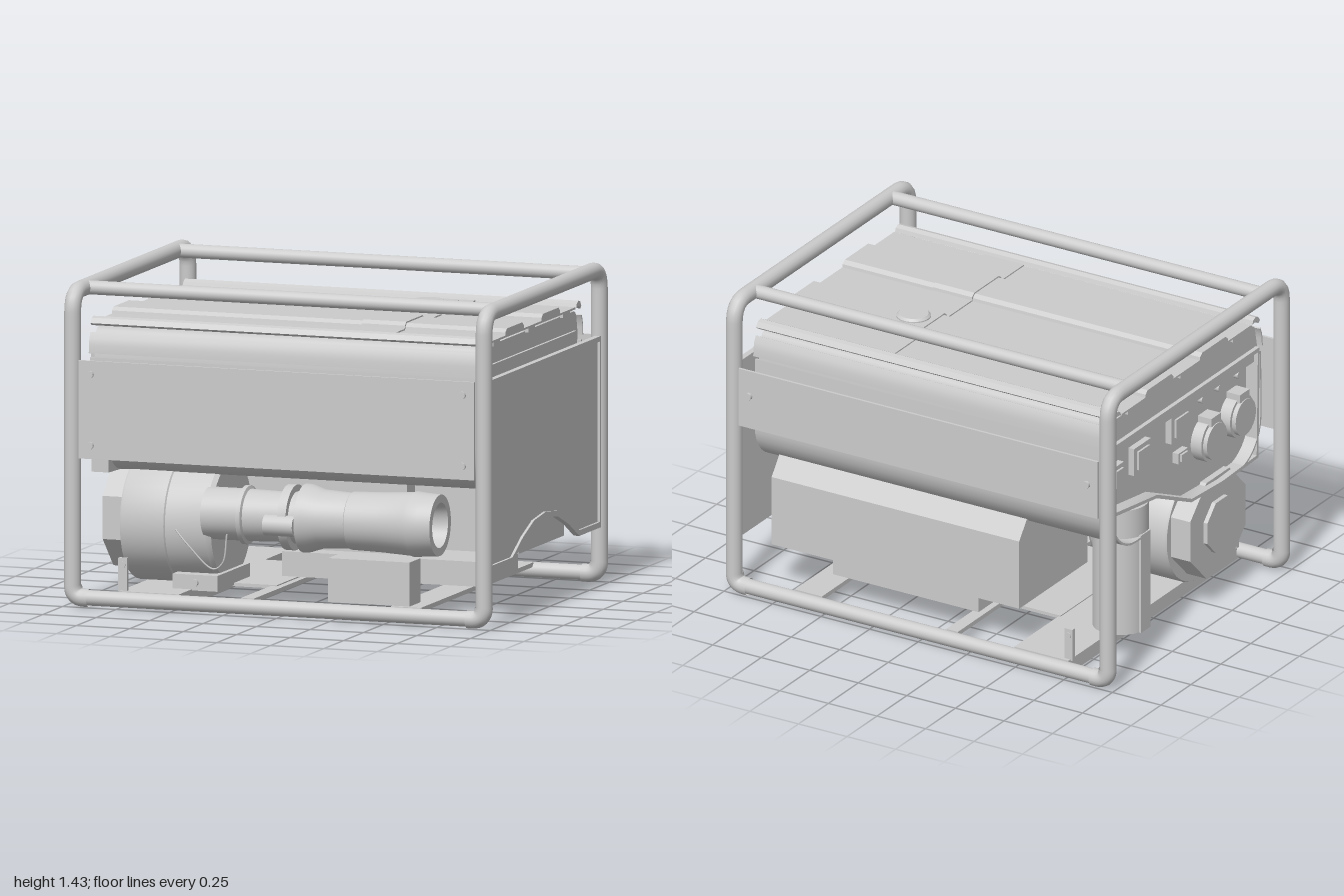
import * as THREE from 'three';
import { toCreasedNormals } from 'three/addons/utils/BufferGeometryUtils.js';

const mat = new THREE.MeshStandardMaterial({ color: 0xcccccc, side: THREE.DoubleSide });

export function createModel() {
  const root = new THREE.Group();
  const V = (x, y, z) => new THREE.Vector3(x, y, z);

  function add(name, geo, x = 0, y = 0, z = 0) {
    const m = new THREE.Mesh(geo, mat);
    m.name = name;
    m.position.set(x, y, z);
    root.add(m);
    return m;
  }
  // box given by its limits
  const box = (name, x0, x1, y0, y1, z0, z1) =>
    add(name, new THREE.BoxGeometry(x1 - x0, y1 - y0, z1 - z0), (x0 + x1) / 2, (y0 + y1) / 2, (z0 + z1) / 2);
  // cylinder along an axis
  function cyl(name, axis, r, len, x, y, z, sides = 24) {
    const g = new THREE.CylinderGeometry(r, r, len, sides);
    if (axis === 'x') g.rotateZ(Math.PI / 2);
    if (axis === 'z') g.rotateX(Math.PI / 2);
    return add(name, g, x, y, z);
  }
  // outline of [z, y] points extruded from x0 to x1
  function prism(name, pts, x0, x1, hole) {
    const to2 = p => new THREE.Vector2(-p[0], p[1]);
    const shape = new THREE.Shape(pts.map(to2));
    if (hole) shape.holes.push(new THREE.Path(hole.map(to2)));
    const g = new THREE.ExtrudeGeometry(shape, { depth: x1 - x0, bevelEnabled: false });
    g.rotateY(Math.PI / 2);
    return add(name, toCreasedNormals(g, 0.6), x0, 0, 0);
  }
  // thin bent sheet following [z, y] points
  function sheet(name, pts, t, x0, x1) {
    const off = pts.map((p, i) => {
      const a = pts[Math.max(i - 1, 0)], b = pts[Math.min(i + 1, pts.length - 1)];
      const dz = b[0] - a[0], dy = b[1] - a[1], l = Math.hypot(dz, dy);
      return [p[0] - dy / l * t, p[1] + dz / l * t];
    });
    return prism(name, [...pts, ...off.reverse()], x0, x1);
  }
  // tube through points with rounded corners
  function pipe(name, pts, r, bend, seg) {
    const path = new THREE.CurvePath();
    let last = pts[0];
    for (let i = 1; i < pts.length - 1; i++) {
      const p = pts[i];
      const a = p.clone().add(pts[i - 1].clone().sub(p).setLength(bend));
      const b = p.clone().add(pts[i + 1].clone().sub(p).setLength(bend));
      path.add(new THREE.LineCurve3(last, a));
      path.add(new THREE.QuadraticBezierCurve3(a, p, b));
      last = b;
    }
    path.add(new THREE.LineCurve3(last, pts[pts.length - 1]));
    return add(name, new THREE.TubeGeometry(path, seg, r, 16));
  }
  const mirrorZ = pts => pts.map(([z, y]) => [-z, y]);

  // tubular frame
  for (const s of [-1, 1]) {
    const x = s * 0.962;
    pipe('frameHoop', [V(x, 0.09, 0.725), V(x, 1.402, 0.725), V(x, 1.402, -0.725), V(x, 0.09, -0.725)], 0.037, 0.09, 160);
    for (const z of [-0.725, 0.725]) {
      pipe('frameElbow', [V(s * 0.885, 0.049, z), V(s * 0.96, 0.049, z), V(s * 0.96, 0.105, z)], 0.04, 0.054, 24);
    }
    cyl('topRail', 'x', 0.031, 1.92, 0, 1.402, s * 0.57);
    cyl('bottomRail', 'x', 0.034, 1.8, 0, 0.05, s * 0.725);
    box('mountTab', -0.76, -0.72, 0.08, 0.23, s * 0.685 - 0.01, s * 0.685 + 0.01);
    cyl('mountTabBolt', 'z', 0.014, 0.03, -0.74, 0.2, s * 0.685, 12);
  }
  // floor cross members
  for (const [x0, x1, y0] of [[-0.75, -0.47, 0.02], [-0.18, -0.12, 0.065], [0.52, 0.66, 0.065]]) {
    box('crossMember', x0, x1, y0, 0.085, -0.71, 0.71);
  }
  box('basePlate', -0.48, -0.15, 0.075, 0.09, -0.34, 0.34);

  // flat outer covers set between the posts: deep in front, shallow at the back
  for (const [name, s, low, screws] of [['frontCover', 1, 0.67, [0.73, 1.045]], ['backCover', -1, 0.83, [0.985]]]) {
    box(name, -0.925, 0.925, low, 1.105, s * 0.746 - 0.006, s * 0.746 + 0.006);
    for (const x of [-0.87, 0.87]) for (const y of screws) cyl('coverScrew', 'z', 0.017, 0.024, x, y, s * 0.753, 12);
  }
  // inner walls that roll under the machine
  const wall = [[0.62, 1.1], [0.625, 0.95]];
  for (let i = 0; i <= 8; i++) {
    const a = i / 8 * Math.PI / 2;
    wall.push([0.425 + 0.2 * Math.cos(a), 0.784 - 0.2 * Math.sin(a)]);
  }
  wall.push([0.3, 0.584]);
  sheet('frontWall', wall, -0.01, -0.92, 0.92);
  sheet('backWall', mirrorZ(wall), 0.01, -0.92, 0.92);
  // enclosed engine body between the walls
  prism('engineBody', [[0.6, 1.09], [0.6, 0.79], [0.54, 0.66], [0.42, 0.6], [-0.42, 0.6], [-0.54, 0.66], [-0.6, 0.79], [-0.6, 1.09]], -0.55, 0.9);

  // arched side panel with a raised rim on the left end
  const arch = (w, top, low, lift) => {
    const a = [[0.42, low], [0.29, 0.33 + lift], [0.15, 0.385 + lift], [0, 0.403 + lift]];
    return [[w, top], [w, low], ...a, ...mirrorZ(a.slice(0, 3)).reverse(), [-w, low], [-w, top]];
  };
  const rim = arch(0.692, 1.108, 0.26, 0), field = arch(0.678, 1.085, 0.285, 0.025);
  prism('sidePanel', field, 0.955, 0.97);
  prism('sidePanelRim', rim, 0.955, 0.982, field);

  // control panel on the right end: recessed plate inside a lipped frame
  const edge = [[-0.61, 1.12], [-0.61, 0.78], [-0.25, 0.73], [0.04, 0.595], [0.3, 0.58], [0.6, 0.59], [0.61, 1.12]];
  const inner = [[-0.595, 1.1], [-0.595, 0.795], [-0.245, 0.745], [0.045, 0.61], [0.3, 0.595], [0.585, 0.605], [0.595, 1.1]];
  prism('controlPanel', edge, -0.86, -0.84);
  prism('controlPanelFrame', edge, -0.92, -0.86, inner);
  for (const [z, y] of [[0.23, 0.82], [0.47, 0.84]]) {
    cyl('socket', 'x', 0.1, 0.06, -0.885, y, z);
    cyl('socketCap', 'x', 0.085, 0.03, -0.92, y, z);
    box('socketHinge', -0.93, -0.86, y + 0.08, y + 0.12, z - 0.04, z + 0.04);
  }
  for (const [z, y, w, h] of [[-0.52, 0.93, 0.09, 0.12], [-0.32, 0.95, 0.14, 0.13], [0, 0.98, 0.16, 0.13], [0.02, 0.82, 0.08, 0.05]]) {
    box('switch', -0.89, -0.86, y - h / 2, y + h / 2, z - w / 2, z + w / 2);
    box('switchButton', -0.9, -0.88, y - h / 3, y + h / 3, z - w / 3, z + w / 3);
  }
  for (const z of [0.2, 0.34, 0.5]) cyl('indicator', 'x', 0.018, 0.03, -0.87, 1.02, z, 12);

  // fuel tank, edge guards and ribbed top
  const half = [[0.62, 1.05], [0.62, 1.12], [0.602, 1.205], [0.592, 1.22], [0.575, 1.23]];
  prism('fuelTank', [...half, ...mirrorZ(half).reverse()], -0.9, 0.9);
  box('tankEndPlate', 0.895, 0.912, 1.09, 1.145, -0.575, 0.575);
  const side = [[0.615, 1.212], [0.628, 1.185], [0.634, 1.155], [0.636, 1.12]];
  const hook = [[0.548, 1.25], [0.555, 1.268], [0.575, 1.278], [0.597, 1.272], [0.612, 1.25], [0.6, 1.24], [0.585, 1.254], [0.562, 1.254]];
  for (const s of [-1, 1]) {
    sheet('tankSideGuard', s > 0 ? side : mirrorZ(side), s * -0.008, -0.92, 0.92);
    prism('tankTopGuard', s > 0 ? hook : mirrorZ(hook), -0.92, 0.92);
  }
  for (const z of [-0.44, 0, 0.44]) box('tankSpacer', -0.915, 0.915, 1.225, 1.247, z - 0.043, z + 0.043);
  // top sheet with two solid ribs, repeated slightly larger as the filler band
  for (const [name, x0, x1, up] of [['ribbedTop', -0.92, 0.92, 0], ['fillerBand', 0.25, 0.452, 0.006]]) {
    box(name, x0, x1, 1.245, 1.254 + up, -0.54, 0.54);
    const rib = [[0.347, 1.25], [0.343, 1.268], [0.325, 1.283], [0.13, 1.283], [0.112, 1.268], [0.108, 1.25]];
    const grown = rib.map(([z, y]) => [z + (z > 0.2 ? up : -up), y + up]);
    prism(name + 'Rib', grown, x0, x1);
    prism(name + 'Rib', mirrorZ(grown), x0, x1);
  }
  const cap = [[0, 0], [0.076, 0], [0.076, 0.008], [0.066, 0.018], [0, 0.018]];
  add('fuelCap', toCreasedNormals(new THREE.LatheGeometry(cap.map(p => new THREE.Vector2(...p)), 32), 0.5), 0.35, 1.287, -0.22);

  // chamfered muffler box at the back with a tray below
  prism('mufflerBox', [[-0.05, 0.225], [-0.05, 0.77], [-0.45, 0.77], [-0.62, 0.55], [-0.62, 0.225]], -0.44, 0.835);
  box('mufflerTray', -0.2, 0.55, 0.13, 0.23, -0.57, -0.34);
  box('engineBase', -0.2, 0.72, 0.1, 0.21, -0.35, 0.14);
  box('engineBlock', -0.2, 0.35, 0.2, 0.62, -0.1, 0.05);

  // alternator: drum, faceted end bell and mount
  const turned = (name, pts, y, z) => {
    const g = new THREE.LatheGeometry(pts.map(([r, x]) => new THREE.Vector2(r, x)), 40);
    g.rotateZ(-Math.PI / 2);
    return add(name, toCreasedNormals(g, 0.5), 0, y, z);
  };
  turned('alternatorDrum', [
    [0, -0.79], [0.275, -0.79], [0.28, -0.78], [0.28, -0.585], [0.273, -0.58], [0.273, -0.39], [0.26, -0.37], [0, -0.37],
  ], 0.365, 0.32);
  // octagonal bell lying along x
  const octagon = (name, r, len, x) => {
    const g = new THREE.CylinderGeometry(r, r, len, 8).toNonIndexed();
    g.rotateY(Math.PI / 8);
    g.rotateZ(-Math.PI / 2);
    g.computeVertexNormals();
    add(name, g, x, 0.38, 0.31);
  };
  octagon('alternatorEndBell', 0.25, 0.1, -0.84);
  octagon('alternatorHub', 0.13, 0.02, -0.9);
  box('alternatorMount', -0.56, -0.35, 0.08, 0.15, 0.14, 0.55);
  cyl('mountBolt', 'z', 0.017, 0.02, -0.455, 0.115, 0.555, 12);

  // horizontal duct in front, open at its free end
  turned('duct', [
    [0.115, -0.4], [0.115, -0.235], [0.13, -0.23], [0.13, -0.21], [0.115, -0.205], [0.11, -0.03],
    [0.145, -0.03], [0.145, 0.01], [0.115, 0.01], [0.115, 0.05], [0.152, 0.05], [0.15, 0.08], [0.13, 0.14],
    [0.122, 0.27], [0.128, 0.275], [0.132, 0.42], [0.14, 0.55], [0.145, 0.57], [0.14, 0.62], [0.136, 0.68],
    [0.1, 0.68], [0.095, 0.6], [0, 0.6],
  ], 0.425, 0.52);
  cyl('ductCollar', 'x', 0.047, 0.14, -0.02, 0.405, 0.645);
  add('wire', new THREE.TubeGeometry(new THREE.CatmullRomCurve3(
    [V(-0.55, 0.37, 0.58), V(-0.46, 0.29, 0.62), V(-0.35, 0.19, 0.61), V(-0.3, 0.22, 0.62), V(-0.28, 0.35, 0.62)]), 30, 0.004, 6));

  // battery box near the front rail
  box('batteryBox', 0.22, 0.6, 0.085, 0.28, 0.55, 0.69);

  // upright canister behind the control end
  cyl('canister', 'y', 0.125, 0.6, -0.79, 0.43, -0.34, 28);
  box('canisterRib', -0.92, -0.9, 0.13, 0.6, -0.38, -0.3);

  return root;
}
